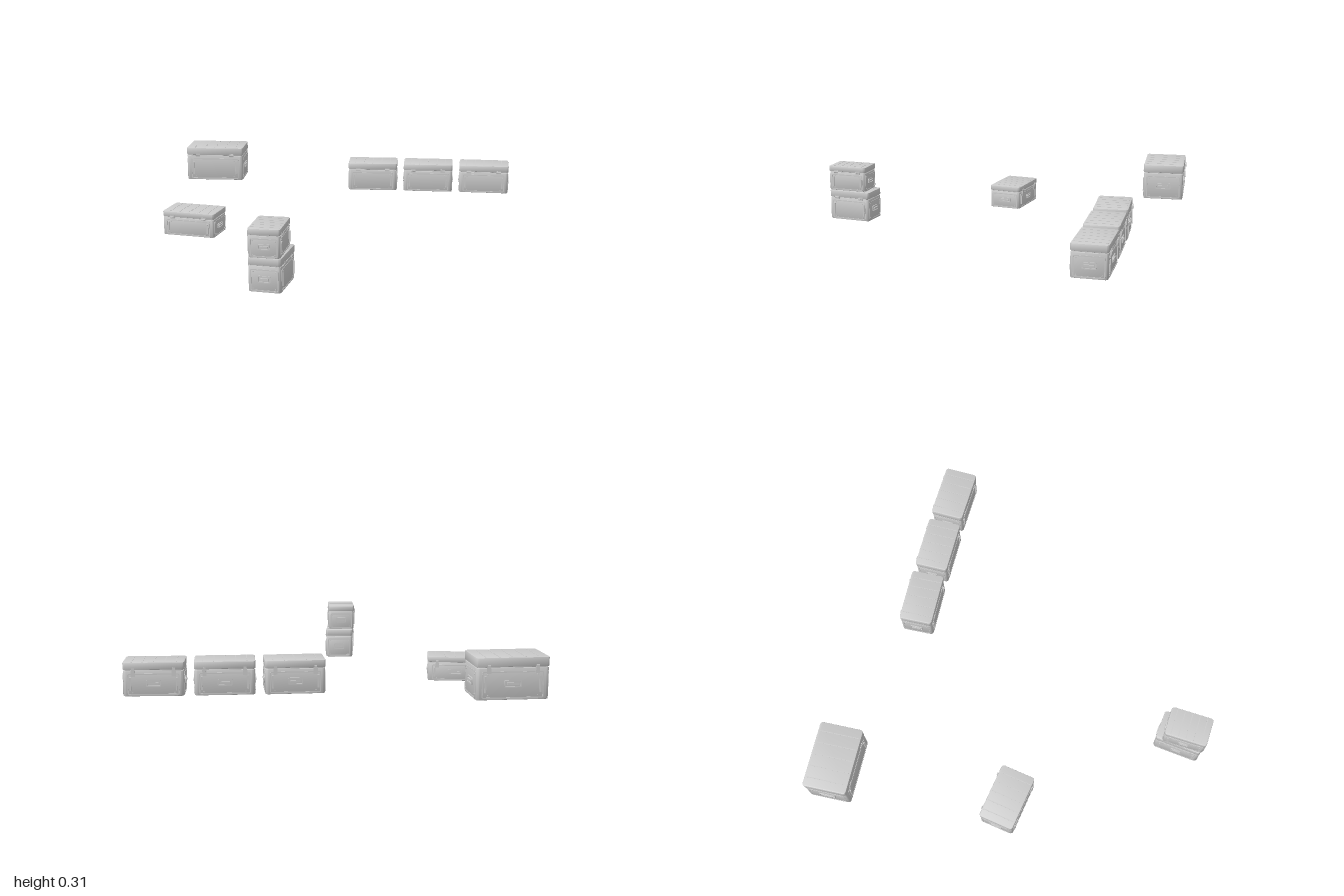
import * as THREE from 'three';
import { toCreasedNormals } from 'three/addons/utils/BufferGeometryUtils.js';

const material = new THREE.MeshStandardMaterial({ color: 0xcccccc });

function part(name, geometry, x = 0, y = 0, z = 0) {
  const mesh = new THREE.Mesh(geometry, material);
  mesh.name = name;
  mesh.position.set(x, y, z);
  return mesh;
}

// rounded rectangle centred on the origin
function roundedRect(w, h, r, Type = THREE.Shape) {
  const s = new Type(), x = w / 2, y = h / 2;
  s.moveTo(x - r, -y);
  s.absarc(x - r, y - r, r, 0, Math.PI / 2);
  s.absarc(-x + r, y - r, r, Math.PI / 2, Math.PI);
  s.absarc(-x + r, -y + r, r, Math.PI, Math.PI * 1.5);
  s.absarc(x - r, -y + r, r, Math.PI * 1.5, Math.PI * 2);
  return s;
}

// upright block with rounded corners and softened rims, standing on y = 0
function block(w, h, d, r = 0.012, bevel = 0.003) {
  const g = new THREE.ExtrudeGeometry(roundedRect(w - 2 * bevel, d - 2 * bevel, r), {
    depth: h - 2 * bevel, bevelSize: bevel, bevelThickness: bevel, bevelSegments: 2, curveSegments: 5,
  });
  g.rotateX(-Math.PI / 2).translate(0, bevel, 0);
  return toCreasedNormals(g, 0.6);
}

// flat rounded ring facing +z
function ring(w, h, t, depth, r) {
  const s = roundedRect(w, h, r);
  s.holes.push(roundedRect(w - 2 * t, h - 2 * t, Math.max(r - t, 0.001), THREE.Path));
  const g = new THREE.ExtrudeGeometry(s, { depth, bevelEnabled: false, curveSegments: 4 });
  return toCreasedNormals(g, 0.6);
}

// carrying handle: surround, grip bar and two mounts
function handle(w, h) {
  const group = new THREE.Group();
  group.name = 'handle';
  group.add(part('handleSurround', ring(w, h, 0.005, 0.005, 0.006)));
  group.add(part('handleGrip', new THREE.BoxGeometry(w * 0.68, h * 0.3, 0.007), 0, 0, 0.0035));
  return group;
}

// latch: plate on the body, clasp across the seam
function latch(x, seam, z) {
  const group = new THREE.Group();
  group.name = 'latch';
  group.position.set(x, seam, z);
  group.add(part('latchPlate', new THREE.BoxGeometry(0.02, 0.03, 0.006), 0, -0.014, 0.003));
  group.add(part('latchClasp', new THREE.BoxGeometry(0.013, 0.026, 0.005), 0, 0, 0.007));
  return group;
}

// hinge: two leaves and a pin along the seam
function hinge(x, seam, z) {
  const group = new THREE.Group();
  group.name = 'hinge';
  group.position.set(x, seam, z);
  group.add(part('hingeLeaf', new THREE.BoxGeometry(0.026, 0.02, 0.003), 0, 0, 0.0015));
  const pin = new THREE.CylinderGeometry(0.003, 0.003, 0.028, 8).rotateZ(Math.PI / 2);
  group.add(part('hingePin', pin, 0, 0, 0.004));
  return group;
}

// crate with its latched front facing +z
function crate(w, h, d) {
  const group = new THREE.Group();
  group.name = 'crate';
  const seam = h * 0.77, gap = 0.004;
  group.add(part('body', block(w - 0.004, seam - gap / 2, d - 0.004)));
  group.add(part('seam', block(w - 0.012, gap * 3, d - 0.012, 0.01, 0.001), 0, seam - gap * 1.5));
  group.add(part('lid', block(w, h - seam - gap / 2, d), 0, seam + gap / 2));

  // shallow ribs across the lid
  for (let i = -2; i <= 2; i++) {
    group.add(part('lidRib', new THREE.BoxGeometry(0.004, 0.002, d * 0.9), i * w * 0.18, h));
  }

  // four sides: 0 front, 1 left, 2 back, 3 right
  for (let i = 0; i < 4; i++) {
    const side = new THREE.Group();
    side.name = ['frontSide', 'leftSide', 'backSide', 'rightSide'][i];
    side.rotation.y = i * Math.PI / 2;
    const long = i % 2 === 0;
    const span = long ? w : d, z = (long ? d : w) / 2 - 0.002;
    const panelH = seam * 0.82, panelY = seam * 0.46;
    side.add(part('panelFrame', ring(span * 0.84, panelH, 0.005, 0.002, 0.008), 0, panelY, z));

    // low ridge under the panel
    side.add(part('baseRidge', new THREE.BoxGeometry(span * 0.7, 0.004, 0.003), 0, 0.006, z));

    if (i !== 2) {
      const grip = handle(long ? w * 0.24 : d * 0.38, Math.min(0.034, h * 0.2));
      grip.position.set(0, seam * 0.5, z);
      side.add(grip);
    }
    for (const s of [-1, 1]) {
      if (i === 0) side.add(latch(s * w * 0.33, seam, z));
      if (i === 2) side.add(hinge(s * w * 0.3, seam, z));
      // upright stiffeners beside the panel
      if (long) {
        side.add(part('stiffener', new THREE.BoxGeometry(0.008, seam * 0.5, 0.006), s * w * 0.375, seam * 0.48, z + 0.003));
      }
      // rivets at the panel corners
      for (const v of [-1, 1]) {
        const rivet = new THREE.CylinderGeometry(0.003, 0.003, 0.004, 8).rotateX(Math.PI / 2);
        side.add(part('rivet', rivet, s * span * 0.34, panelY + v * panelH * 0.38, z + 0.001));
      }
    }
    group.add(side);
  }
  return group;
}

export function createModel() {
  const model = new THREE.Group();
  model.name = 'crates';
  const back = Math.PI, side = -Math.PI / 2;
  // name, x, y, z, width, height, depth, turn
  const list = [
    ['largeCrate', -0.817, 0.1, -0.878, 0.35, 0.2, 0.23, back + 0.03],
    ['rowCrateRight', 0.178, 0.1, -0.693, 0.29, 0.162, 0.178, back + 0.03],
    ['rowCrateMiddle', 0.51, 0.1, -0.695, 0.29, 0.162, 0.178, back],
    ['rowCrateLeft', 0.842, 0.1, -0.693, 0.29, 0.162, 0.178, back - 0.03],
    ['lowCrate', -0.761, 0, 0.034, 0.3, 0.132, 0.19, back - 0.17],
    ['stackLowerCrate', -0.199, 0, 0.858, 0.25, 0.168, 0.162, side - 0.13],
    ['stackUpperCrate', -0.206, 0.17, 0.876, 0.226, 0.14, 0.156, side - 0.07],
  ];
  for (const [name, x, y, z, w, h, d, turn] of list) {
    const c = crate(w, h, d);
    c.name = name;
    c.position.set(x, y, z);
    c.rotation.y = turn;
    model.add(c);
  }
  return model;
}
